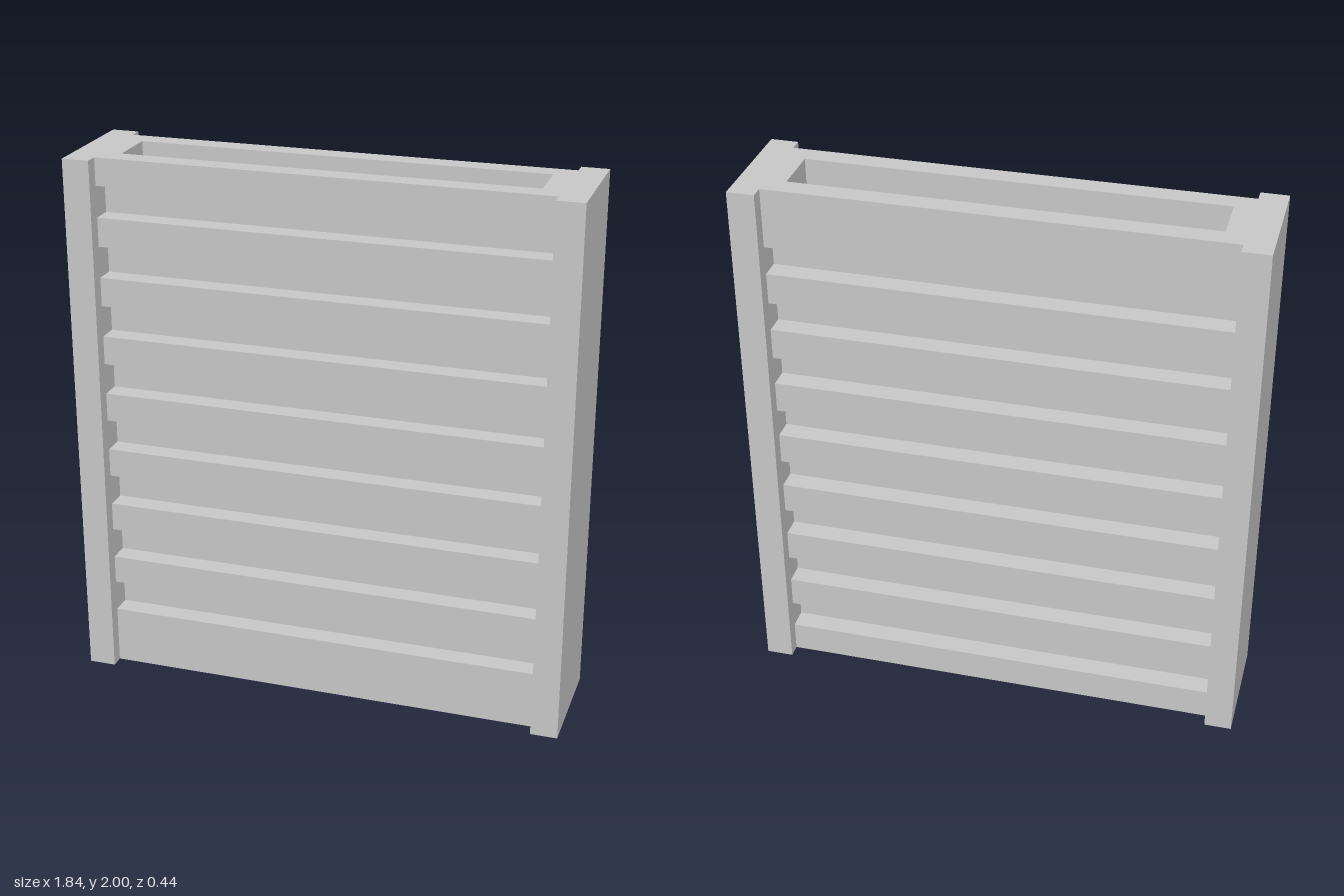
import * as THREE from 'three';

const material = new THREE.MeshStandardMaterial({ color: 0xcccccc });

// Box given by its min and max along each axis
function block(name, [x0, x1], [y0, y1], [z0, z1]) {
  const geo = new THREE.BoxGeometry(x1 - x0, y1 - y0, z1 - z0);
  geo.translate((x0 + x1) / 2, (y0 + y1) / 2, (z0 + z1) / 2);
  const mesh = new THREE.Mesh(geo, material);
  mesh.name = name;
  return mesh;
}

export function createModel() {
  const group = new THREE.Group();
  group.name = 'slattedPanel';

  const H = 2, POST_IN = 0.82, POST_OUT = 0.92, CORE_X = 0.75;
  const POST_Z = 0.22, FACE_Z = 0.17, CORE_Z = 0.093;
  const PITCH = 0.2229;
  const slatX = [-POST_IN, POST_IN];
  const front = [CORE_Z, FACE_Z], back = [-FACE_Z, -CORE_Z];

  // End posts with the spacers that close the ends of the top pocket
  group.add(
    block('leftPost', [POST_IN, POST_OUT], [0, H], [-POST_Z, POST_Z]),
    block('rightPost', [-POST_OUT, -POST_IN], [0, H], [-POST_Z, POST_Z]),
    block('leftSpacer', [CORE_X, POST_IN], [0, H], [-CORE_Z, CORE_Z]),
    block('rightSpacer', [-POST_IN, -CORE_X], [0, H], [-CORE_Z, CORE_Z])
  );

  // Core board, stopping below the top to leave the pocket
  group.add(block('core', [-CORE_X, CORE_X], [0, 1.895], [-CORE_Z, CORE_Z]));

  // Front: tall bottom board, then slats up to the top edge
  group.add(block('frontBottomBoard', slatX, [0, 0.22], front));
  for (let i = 0; i < 8; i++) {
    const y = 0.338 + i * PITCH;
    group.add(block('frontSlat', slatX, [y, i === 7 ? H : y + 0.107], front));
  }

  // Back: slats staggered against the front ones, tall board at the top
  group.add(block('backBottomSlat', slatX, [0, 0.115], back));
  for (let i = 0; i < 7; i++) {
    const y = 0.222 + i * PITCH;
    group.add(block('backSlat', slatX, [y, y + 0.116], back));
  }
  group.add(block('backTopBoard', slatX, [1.78, H], back));

  return group;
}
